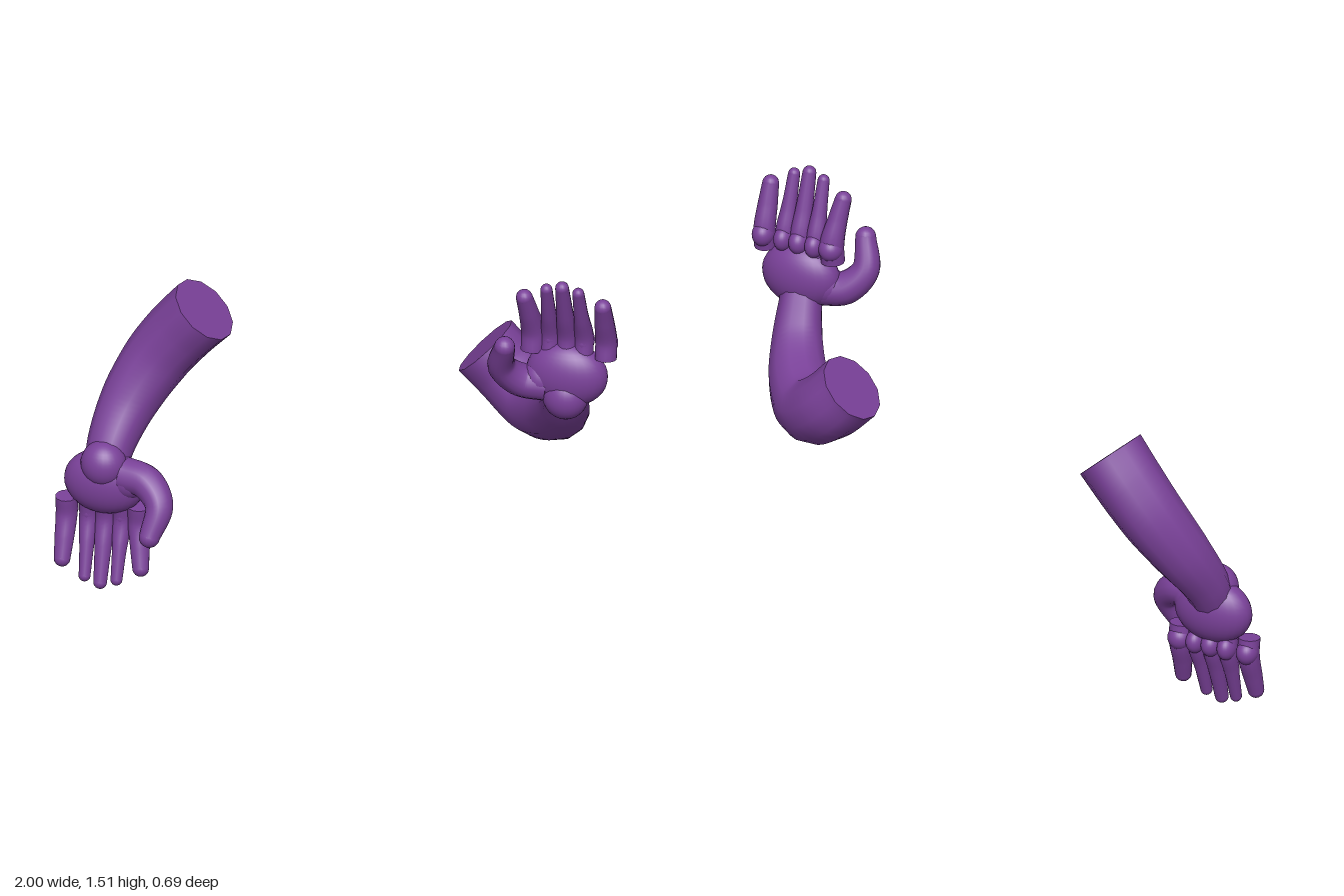
import * as THREE from 'three';

const material = new THREE.MeshStandardMaterial({ color: 0x7a4199 });
const V = (p) => new THREE.Vector3(...p);

function addMesh(group, name, geometry, position = [0, 0, 0], scale = [1, 1, 1]) {
  const mesh = new THREE.Mesh(geometry, material);
  mesh.name = name;
  mesh.position.set(...position);
  mesh.scale.set(...scale);
  group.add(mesh);
  return mesh;
}

// Tapered tube along a smooth path, with a flat disc at the start and an optional round tip.
function taperedTube(name, points, radii, sides, steps, roundTip) {
  const group = new THREE.Group();
  group.name = name;
  const curve = new THREE.CatmullRomCurve3(points.map(V));
  const radiusAt = (t) => {
    const f = t * (radii.length - 1);
    const i = Math.min(Math.floor(f), radii.length - 2);
    return THREE.MathUtils.lerp(radii[i], radii[i + 1], f - i);
  };
  const geometry = new THREE.TubeGeometry(curve, steps, 1, sides, false);
  const pos = geometry.attributes.position;
  const v = new THREE.Vector3();
  for (let ring = 0; ring <= steps; ring++) {
    const centre = curve.getPointAt(ring / steps);
    for (let j = 0; j <= sides; j++) {
      const k = ring * (sides + 1) + j;
      v.fromBufferAttribute(pos, k).sub(centre).multiplyScalar(radiusAt(ring / steps)).add(centre);
      pos.setXYZ(k, v.x, v.y, v.z);
    }
  }
  addMesh(group, name + 'Surface', geometry);

  // Start disc reuses the tube's first ring, so the rims meet exactly
  const start = curve.getPointAt(0);
  const ringPoints = [start];
  for (let j = 0; j < sides; j++) ringPoints.push(new THREE.Vector3().fromBufferAttribute(pos, j));
  const disc = new THREE.BufferGeometry().setFromPoints(ringPoints);
  const outward = curve.getTangentAt(0).negate();
  const turn = ringPoints[1].clone().sub(start).cross(ringPoints[2].clone().sub(start)).dot(outward);
  const index = [];
  for (let j = 0; j < sides; j++) {
    const a = j + 1, b = ((j + 1) % sides) + 1;
    index.push(0, ...(turn > 0 ? [a, b] : [b, a]));
  }
  disc.setIndex(index);
  disc.computeVertexNormals();
  addMesh(group, name + 'Cap', disc);

  if (roundTip) {
    addMesh(group, name + 'Tip', new THREE.SphereGeometry(radiusAt(1), 16, 12), points[points.length - 1]);
  }
  return group;
}

// Open hand with fingers up, palm to the front and thumb towards -x
function createHand(name) {
  const hand = new THREE.Group();
  hand.name = name;
  const ball = new THREE.SphereGeometry(1, 28, 20);
  addMesh(hand, 'palm', ball, [0, 0, 0], [0.14, 0.115, 0.078]);
  addMesh(hand, 'palmHeel', ball, [0, -0.075, 0.02], [0.077, 0.08, 0.07]);
  addMesh(hand, 'thumbMound', ball, [-0.085, -0.025, 0.012], [0.068, 0.068, 0.06]);

  // Five fingers: x at base, x at tip, tip height, base radius, tip radius
  const fingers = [
    [-0.118, -0.135, 0.288, 0.041, 0.028],
    [-0.058, -0.055, 0.335, 0.032, 0.02],
    [0, 0, 0.35, 0.034, 0.023],
    [0.058, 0.055, 0.335, 0.032, 0.02],
    [0.134, 0.136, 0.288, 0.037, 0.028],
  ];
  for (const [xBase, xTip, top, r0, r1] of fingers) {
    const mid = (xBase + xTip) / 2;
    hand.add(taperedTube('finger', [
      [xBase, 0.075, 0], [xBase, 0.14, -0.005], [mid, 0.225, 0.022], [xTip, top, top * 0.27 - 0.034],
    ], [r0, r0, r1 * 1.2, r1], 14, 16, true));
    addMesh(hand, 'knuckle', ball, [xBase, 0.125, -0.015], [r0, 0.042, 0.042]);
  }

  // Thumb curls outwards, up and forwards
  hand.add(taperedTube('thumb', [
    [-0.07, -0.04, 0.012], [-0.15, -0.03, 0.03], [-0.205, 0.03, 0.068], [-0.184, 0.13, 0.112],
  ], [0.06, 0.056, 0.046, 0.035], 16, 24, true));
  return hand;
}

export function createModel() {
  const model = new THREE.Group();
  model.name = 'armPair';

  // Left arm, bent at the elbow with the hand raised
  const leftArm = new THREE.Group();
  leftArm.name = 'leftArm';
  leftArm.add(taperedTube('leftSleeve', [
    [0.435, 0.985, -0.2], [0.52, 0.9, -0.2], [0.62, 0.84, -0.14],
    [0.72, 0.87, -0.03], [0.79, 0.95, 0.095], [0.825, 1.08, 0.195],
  ], [0.121, 0.119, 0.113, 0.1, 0.085, 0.07], 12, 28, false));
  const leftHand = createHand('leftHand');
  leftHand.position.set(0.83, 1.14, 0.2);
  leftArm.add(leftHand);

  // Right arm, hanging, with the same hand turned half round
  const rightArm = new THREE.Group();
  rightArm.name = 'rightArm';
  rightArm.add(taperedTube('rightSleeve', [
    [-0.54, 0.97, -0.22], [-0.625, 0.873, -0.23], [-0.702, 0.77, -0.22],
    [-0.78, 0.63, -0.165], [-0.822, 0.5, -0.085], [-0.83, 0.41, -0.035],
  ], [0.121, 0.117, 0.111, 0.1, 0.085, 0.07], 12, 28, false));
  const rightHand = createHand('rightHand');
  rightHand.position.set(-0.83, 0.38, -0.035);
  rightHand.rotation.z = Math.PI;
  rightArm.add(rightHand);

  model.add(leftArm, rightArm);
  return model;
}
